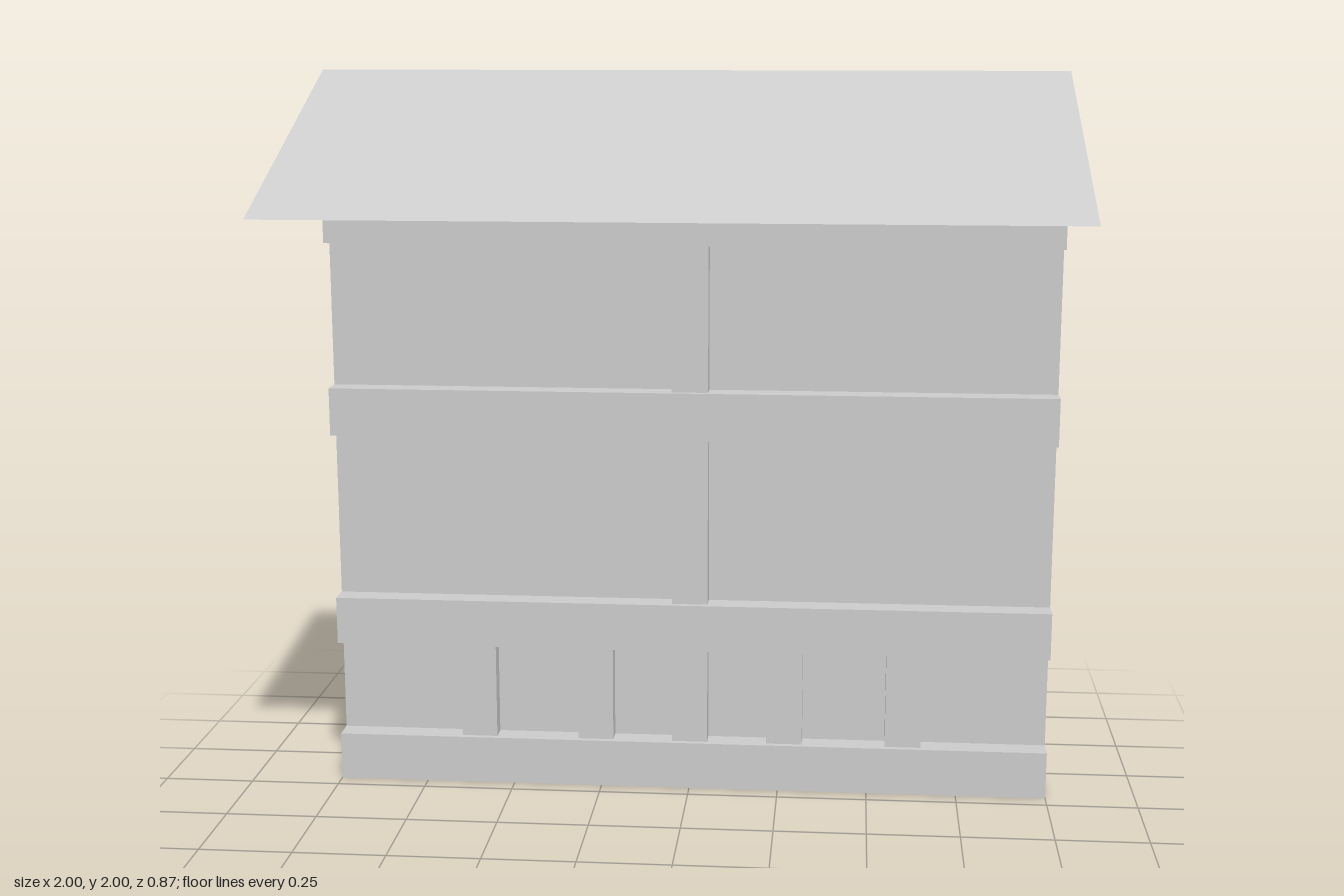
import * as THREE from 'three';

const WALL_Z = -0.367, EAVE_Z = 0.433, EAVE_Y = 1.67, RIDGE_Y = 2;

export function createModel() {
  const group = new THREE.Group();
  const material = new THREE.MeshStandardMaterial({
    color: 0xcccccc, flatShading: true, side: THREE.DoubleSide,
  });

  const add = (name, geometry) => {
    const mesh = new THREE.Mesh(geometry, material);
    mesh.name = name;
    group.add(mesh);
    return mesh;
  };

  // Square open-ended tube of unit size, running along y
  const openTube = () =>
    new THREE.CylinderGeometry(Math.SQRT1_2, Math.SQRT1_2, 1, 4, 1, true).rotateY(Math.PI / 4);

  // Thin wall sheet
  add('wall', new THREE.PlaneGeometry(2, RIDGE_Y)).position.set(0, RIDGE_Y / 2, WALL_Z);

  // Horizontal beams straddling the wall, open at both ends
  for (const bottom of [0, 0.403, 1.003, 1.537]) {
    const size = 0.133;
    add('beam', openTube().rotateZ(Math.PI / 2).scale(2, size, size))
      .position.set(0, bottom + size / 2, WALL_Z);
  }

  // Upright posts: short ones at the foot, one tall one in the middle
  for (const [x, height] of [[-0.6, 0.403], [-0.267, 0.403], [0, 1.537], [0.267, 0.403], [0.6, 0.403]]) {
    add('post', openTube().scale(0.1, height, 0.1)).position.set(x, height / 2, WALL_Z);
  }

  // Lean-to roof: sloped sheet and flat soffit, open at the ends
  const depth = EAVE_Z - WALL_Z, rise = RIDGE_Y - EAVE_Y, midZ = (EAVE_Z + WALL_Z) / 2;
  const slope = new THREE.PlaneGeometry(2, Math.hypot(depth, rise))
    .rotateX(-Math.PI / 2 + Math.atan2(rise, depth));
  add('roofSlope', slope).position.set(0, (RIDGE_Y + EAVE_Y) / 2, midZ);
  add('roofSoffit', new THREE.PlaneGeometry(2, depth).rotateX(Math.PI / 2))
    .position.set(0, EAVE_Y, midZ);

  return group;
}
